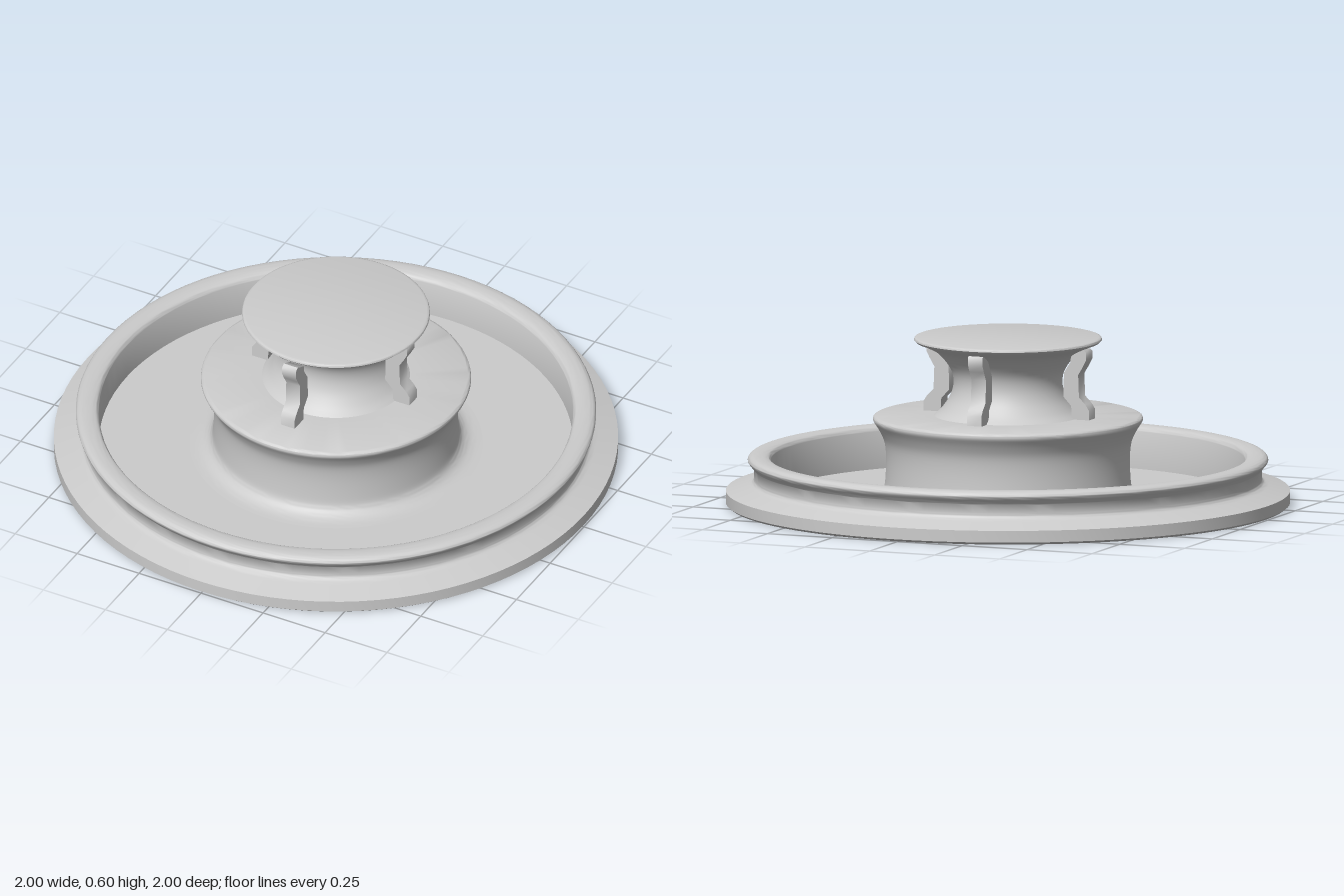
import * as THREE from 'three';
import { toCreasedNormals } from 'three/addons/utils/BufferGeometryUtils.js';

const material = new THREE.MeshStandardMaterial({ color: 0xcccccc, side: THREE.DoubleSide });

// smooth curve through [radius, height] points
function curve(points, n = 12) {
  return new THREE.SplineCurve(points.map(([r, y]) => new THREE.Vector2(r, y)))
    .getPoints(n)
    .map((p) => [p.x, p.y]);
}

// turned part from a counter-clockwise [radius, height] profile
function turned(name, profile) {
  const lathe = new THREE.LatheGeometry(profile.map(([r, y]) => new THREE.Vector2(r, y)), 96);
  const mesh = new THREE.Mesh(toCreasedNormals(lathe, 0.75), material);
  mesh.name = name;
  return mesh;
}

export function createModel() {
  const model = new THREE.Group();
  model.name = 'steppedHub';

  // flat flange with a hole, carrying a raised rim with a rounded bead
  model.add(turned('baseFlange', [
    [0.51, 0], [0.99, 0], [1, 0.008], [1, 0.05],
    ...curve([[0.93, 0.071], [0.91, 0.078], [0.901, 0.088], [0.9, 0.1]], 8),
    ...curve([[0.9, 0.128], [0.906, 0.137], [0.922, 0.157], [0.917, 0.17], [0.9, 0.177], [0.87, 0.177], [0.848, 0.171], [0.84, 0.158]], 24),
    [0.84, 0.024], [0.51, 0.024],
  ]));

  // hollow drum: filleted foot, waisted wall and overhanging top plate
  model.add(turned('drum', [
    ...curve([[0.52, 0.024], [0.485, 0.027], [0.458, 0.038], [0.44, 0.06], [0.434, 0.1], [0.432, 0.17], [0.438, 0.225], [0.455, 0.265], [0.474, 0.295]], 32),
    ...curve([[0.479, 0.306], [0.476, 0.315], [0.465, 0.32]], 6),
    [0.26, 0.32], [0.245, 0.295],
    ...curve([[0.452, 0.295], [0.428, 0.25], [0.416, 0.2], [0.413, 0.12], [0.42, 0.06], [0.44, 0.025], [0.47, 0.006], [0.51, 0]], 28),
  ]));

  // hollow neck opening into a mushroom cap
  model.add(turned('neckAndCap', [
    ...curve([[0.262, 0.32], [0.235, 0.345], [0.205, 0.39], [0.193, 0.44], [0.205, 0.49], [0.25, 0.545], [0.295, 0.57], [0.325, 0.582]], 28),
    ...curve([[0.333, 0.59], [0.331, 0.597], [0.322, 0.6]], 6),
    [0, 0.6],
  ]));
  model.add(turned('neckBore', [
    [0, 0.575],
    ...curve([[0.24, 0.565], [0.195, 0.51], [0.175, 0.44], [0.185, 0.39], [0.215, 0.34], [0.245, 0.295]], 16),
  ]));

  // four bent clips between the drum top and the underside of the cap
  const outline = new THREE.Shape([
    [0.255, 0.29], [0.318, 0.29], [0.318, 0.355], [0.305, 0.375], [0.28, 0.4], [0.277, 0.48],
    [0.295, 0.51], [0.308, 0.535], [0.308, 0.562], [0.295, 0.572], [0.25, 0.55], [0.247, 0.525],
    [0.222, 0.485], [0.22, 0.4], [0.25, 0.368],
  ].map(([x, y]) => new THREE.Vector2(x, y)));
  const clipGeometry = toCreasedNormals(
    new THREE.ExtrudeGeometry(outline, { depth: 0.056, bevelEnabled: false }).translate(0, 0, -0.028), 1);
  const clips = new THREE.Group();
  clips.name = 'clips';
  clips.position.z = 0.012;
  for (let i = 0; i < 4; i++) {
    const clip = new THREE.Mesh(clipGeometry, material);
    clip.name = 'clip';
    clip.rotation.y = (i * Math.PI) / 2;
    // the front clip stands slightly proud of the cap
    if (i === 3) clip.position.z = 0.028;
    clips.add(clip);
  }
  model.add(clips);
  return model;
}
